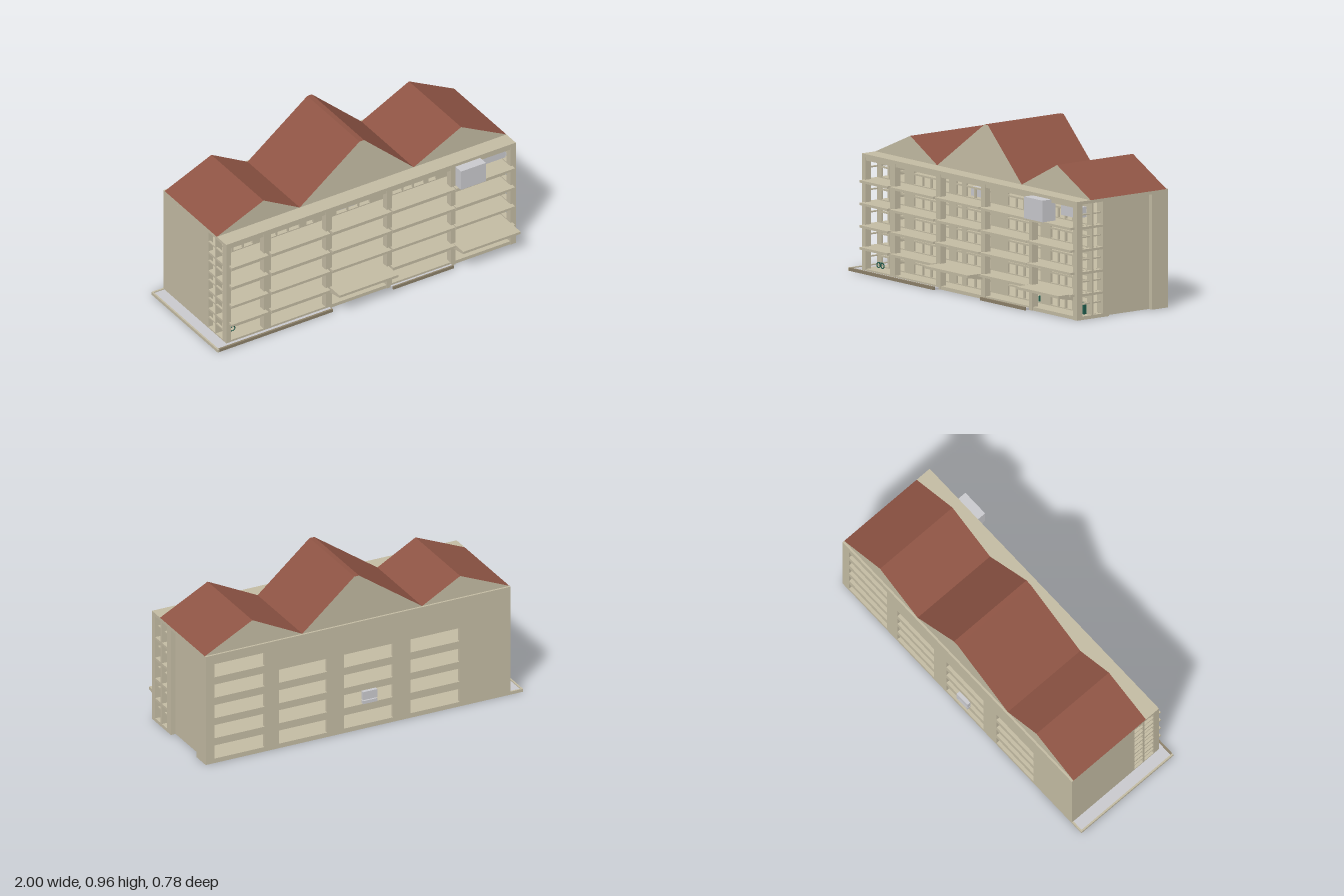
import * as THREE from 'three';

const mat = (name, color) => {
  const m = new THREE.MeshStandardMaterial({ color });
  m.name = name;
  return m;
};

export function createModel() {
  const model = new THREE.Group();
  const wall = mat('beige plaster', 0xc2baa2);
  const roof = mat('red brown tile', 0x8e5444);
  const grey = mat('light grey metal', 0xc8c8cc);
  const teal = mat('dark teal', 0x1d5a4b);
  const curb = mat('brown stone', 0x8c8069);

  const add = (name, geo, m) => {
    const mesh = new THREE.Mesh(geo, m);
    mesh.name = name;
    model.add(mesh);
    return mesh;
  };
  // box given by its limits on each axis
  const box = (name, x0, x1, y0, y1, z0, z1, m = wall) => {
    const b = add(name, new THREE.BoxGeometry(x1 - x0, y1 - y0, z1 - z0), m);
    b.position.set((x0 + x1) / 2, (y0 + y1) / 2, (z0 + z1) / 2);
    return b;
  };
  const polygon = pts => new THREE.Shape(pts.map(p => new THREE.Vector2(...p)));
  const rect = (x0, x1, y0, y1) => [[x0, y0], [x1, y0], [x1, y1], [x0, y1]];
  const pierced = (name, outline, holes, z0, z1) => {
    const s = polygon(outline);
    holes.forEach(h => s.holes.push(new THREE.Path(rect(...h).reverse().map(p => new THREE.Vector2(...p)))));
    add(name, new THREE.ExtrudeGeometry(s, { depth: z1 - z0, bevelEnabled: false }), wall).position.z = z0;
  };

  const L = -0.92, R = 1.0, TOP = 0.675, BACK = -0.37, FRONT = 0.285;
  const floors = [0.02, 0.147, 0.272, 0.4, 0.528];
  const bays = [[-0.89, -0.67], [-0.625, -0.26], [-0.22, 0.145], [0.18, 0.57], [0.6, 0.965]];

  // floor slabs and flat roof
  floors.forEach((y, i) => box('floorSlab', L + 0.005, R - 0.035, i ? y - 0.014 : 0, y, BACK + 0.01, FRONT - 0.005));
  box('flatRoof', L, R, 0.657, TOP, BACK, FRONT);

  // back wall: every row at the +x end, lower four rows elsewhere
  const backCols = [[0.63, 0.945], [0.235, 0.54], [-0.18, 0.13], [-0.6, -0.29]];
  const backHoles = [];
  backCols.forEach(([a, b], c) => floors.forEach((y, i) => {
    if (i < 4 || c === 0) backHoles.push([a, b, y + 0.008, y + 0.09]);
  }));
  pierced('backWall', rect(L, R, 0, 0.657), backHoles, BACK, BACK + 0.02);

  // end walls, the +x one with a tall recessed panel
  box('leftEndWall', L, L + 0.03, 0, 0.657, BACK + 0.02, 0.1);
  box('endPanel', R - 0.05, R - 0.03, 0, 0.657, BACK + 0.02, 0.1);
  box('endPier', R - 0.03, R, 0, 0.657, BACK + 0.02, -0.255);
  box('endPier', R - 0.03, R, 0, 0.657, 0.055, 0.1);

  // open gallery ends: posts, slab edges and rails
  for (const x of [L, R - 0.03]) {
    box('galleryPost', x, x + 0.03, 0, 0.657, 0.165, 0.178);
    floors.forEach((y, i) => {
      box('galleryEdge', x, x + 0.03, i ? y - 0.014 : 0, y, 0.1, 0.245);
      box('galleryRail', x, x + 0.012, y + 0.061, y + 0.069, 0.1, 0.245);
    });
  }

  // front piers and head beam
  const edges = [L, ...bays.flat(), R];
  for (let i = 0; i < edges.length; i += 2) box('frontPier', edges[i], edges[i + 1], 0, 0.657, 0.245, FRONT);
  box('headBeam', L, R, 0.638, 0.657, 0.25, FRONT - 0.004);

  // window wall behind the balconies, with mullions and transoms
  const windows = [
    [[-0.88, -0.815, 1], [-0.805, -0.675, 2]],
    [[-0.59, -0.365, 3], [-0.32, -0.275, 1]],
    [[-0.21, -0.16, 1], [-0.12, 0.1, 3]],
    [[0.25, 0.46, 3], [0.49, 0.54, 1]],
    [[0.63, 0.955, 5]],
  ];
  const holes = [];
  windows.flat().forEach(([a, b, n]) => floors.forEach(y => {
    holes.push([a, b, y + 0.006, y + 0.09]);
    box('transom', a, b, y + 0.058, y + 0.068, 0.166, 0.177);
    for (let k = 1; k < n; k++) {
      const x = a + (b - a) * k / n;
      box('mullion', x - 0.005, x + 0.005, y + 0.006, y + 0.058, 0.166, 0.177);
    }
  }));
  pierced('windowWall', rect(L + 0.03, R - 0.03, 0, 0.657), holes, 0.165, 0.178);

  // balcony ledges on every bay
  bays.forEach(([a, b]) => {
    for (let i = 1; i < 5; i++) box('balconyLedge', a - 0.012, b + 0.012, floors[i] - 0.014, floors[i], 0.24, 0.315);
  });

  // tapered entrance canopies
  for (const [a, b] of [[-0.235, 0.155], [0.585, 0.965]]) {
    const g = new THREE.ExtrudeGeometry(polygon([[0.28, 0.11], [0.39, 0.132], [0.39, 0.147], [0.28, 0.147]]),
      { depth: b - a, bevelEnabled: false });
    g.rotateY(-Math.PI / 2);
    add('entranceCanopy', g, wall).position.x = b;
  }

  // three gabled roofs: plaster ends, tiled slopes
  [[L, -0.61, 0.808, -0.37], [-0.37, 0.05, 0.965, 0.385], [0.385, 0.7, 0.832, R]].forEach(([a, p, h, b], i) => {
    const pts = i === 1
      ? [[a, TOP], [b, TOP], [p + 0.015, h], [p - 0.015, h]]
      : [[a, TOP], [b, TOP], [p, h]];
    const g = new THREE.ExtrudeGeometry(polygon(pts), { depth: 0.545, bevelEnabled: false });
    g.translate(0, 0, -0.358);
    if (i === 1) { // the tall roof leans slightly to the back
      const v = g.attributes.position;
      for (let k = 0; k < v.count; k++) v.setZ(k, v.getZ(k) - 0.014 * (v.getY(k) - TOP) / (h - TOP));
      g.computeVertexNormals();
    }
    add('gabledRoof', g, [wall, roof]);
  });

  // pavement with curbs
  box('sidePavement', -0.99, L, 0, 0.012, BACK + 0.01, 0.31, grey);
  box('sideCurb', -1, -0.99, 0, 0.018, BACK, 0.322, wall);
  box('backCurb', -0.99, L, 0, 0.018, BACK, BACK + 0.01, wall);
  box('frontCurb', -0.99, -0.235, 0, 0.018, 0.31, 0.322, curb);
  box('frontPavement', L, -0.235, 0, 0.012, FRONT, 0.31, grey);
  box('entranceStep', 0.17, 0.57, 0, 0.012, FRONT, 0.305, grey);
  box('entranceCurb', 0.17, 0.57, 0, 0.018, 0.305, 0.315, curb);

  // plant boxes and grey equipment
  box('largeVent', 0.6, 0.765, 0.533, 0.656, 0.25, 0.343, grey);
  box('smallVent', 0.81, 0.955, 0.572, 0.63, 0.18, 0.248, grey);
  box('galleryUnit', -0.1, 0.02, 0.54, 0.59, 0.125, 0.16, grey);
  box('backUnit', -0.07, 0.02, 0.19, 0.24, -0.392, BACK, grey);
  box('backUnitTray', -0.07, 0.02, 0.165, 0.184, -0.392, BACK, grey);

  // teal furniture on the ground floor
  box('bin', 0.885, 0.955, 0.02, 0.08, 0.18, 0.2, teal);
  box('bin', 0.5, 0.55, 0.02, 0.055, 0.11, 0.16, teal);
  for (const x of [-0.865, -0.83]) {
    add('bicycleWheel', new THREE.TorusGeometry(0.015, 0.003, 5, 12), teal).position.set(x, 0.038, 0.21);
  }
  box('bicycleFrame', -0.865, -0.83, 0.05, 0.055, 0.207, 0.213, teal);

  return model;
}
